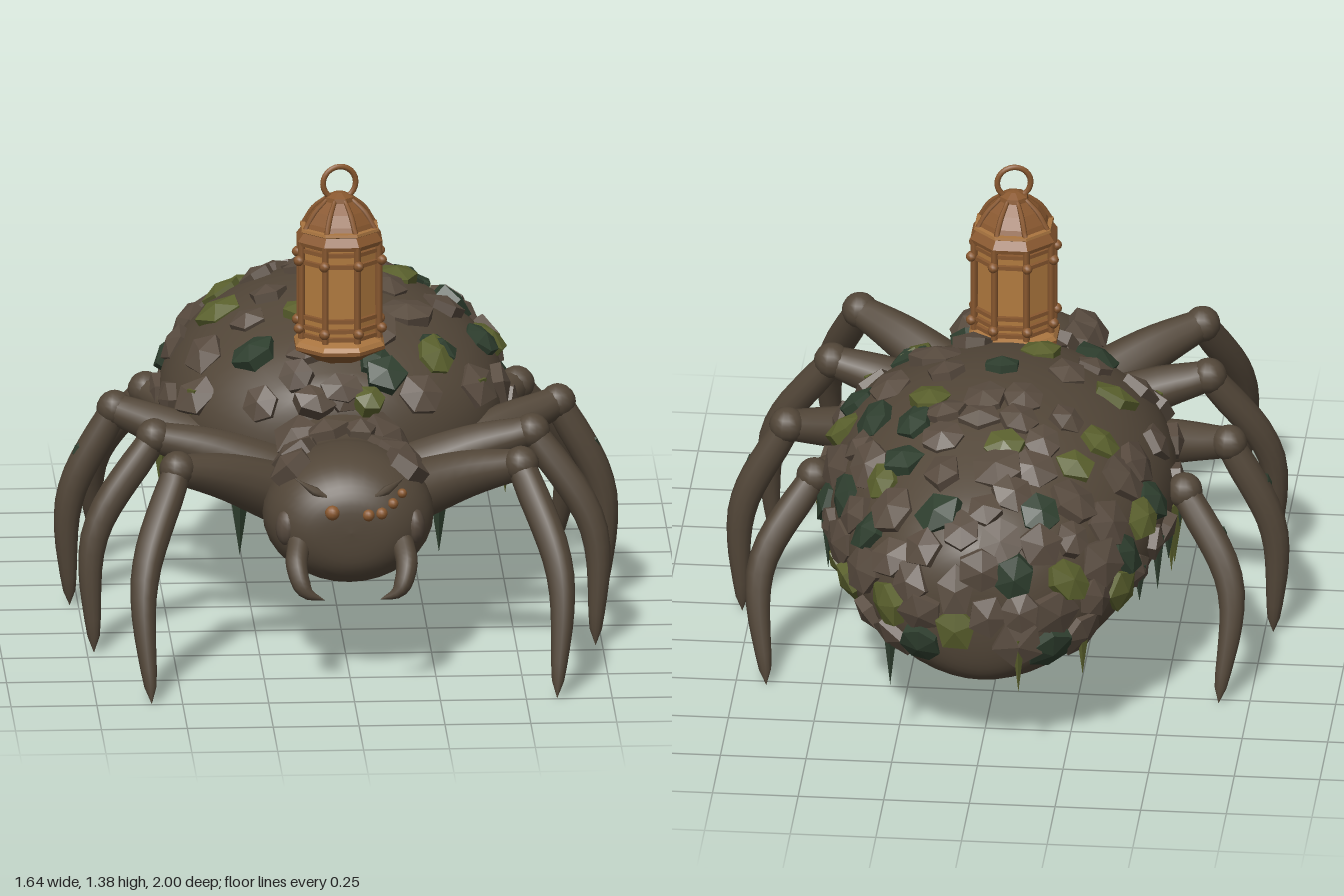
import * as THREE from 'three';
import { mergeGeometries } from 'three/addons/utils/BufferGeometryUtils.js';

const V = (x, y, z) => new THREE.Vector3(x, y, z);
const UP = V(0, 1, 0);

function mat(name, color) {
  const m = new THREE.MeshStandardMaterial({ color });
  m.name = name;
  return m;
}

// Smooth closed skin from f(u, angle), wrapped around the angle
function skin(f, nu, nv) {
  const pos = [], idx = [];
  for (let i = 0; i <= nu; i++)
    for (let j = 0; j < nv; j++) pos.push(...f(i / nu, (j / nv) * Math.PI * 2).toArray());
  for (let i = 0; i < nu; i++)
    for (let j = 0; j < nv; j++) {
      const k = (j + 1) % nv, a = i * nv + j, b = i * nv + k, c = a + nv, d = b + nv;
      idx.push(a, b, c, b, d, c);
    }
  const g = new THREE.BufferGeometry();
  g.setAttribute('position', new THREE.Float32BufferAttribute(pos, 3));
  g.setIndex(idx);
  g.computeVertexNormals();
  return g;
}

// Body surface through sections [z, top, bottom, half width]; angle 0 is the top
function bodySurface(sections) {
  const mid = new THREE.SplineCurve(sections.map(s => new THREE.Vector2(s[0], (s[1] + s[2]) / 2)));
  const rad = new THREE.SplineCurve(sections.map(s => new THREE.Vector2(s[3], (s[1] - s[2]) / 2)));
  return (u, a) => {
    const m = mid.getPoint(u), r = rad.getPoint(u);
    return V(r.x * Math.sin(a), m.y + r.y * Math.cos(a), m.x);
  };
}

function surfaceNormal(f, u, a) {
  const da = f(u, a + 0.02).sub(f(u, a - 0.02));
  const du = f(Math.min(u + 0.01, 1), a).sub(f(Math.max(u - 0.01, 0), a));
  return da.cross(du).normalize();
}

// Surface parameters closest to a point
function nearest(f, target) {
  let best = [0, 0], dist = Infinity;
  for (let u = 0.05; u < 0.98; u += 0.02)
    for (let a = -2.2; a <= 2.2; a += 0.1) {
      const d = f(u, a).distanceTo(target);
      if (d < dist) [dist, best] = [d, [u, a]];
    }
  return best;
}

// Round limb along a curve with radii blended between stations
function limb(points, radii, nu = 14, nv = 12) {
  const curve = new THREE.CatmullRomCurve3(points);
  const fr = curve.computeFrenetFrames(nu, false);
  return skin((u, a) => {
    const k = Math.round(u * nu), t = u * (radii.length - 1), i = Math.min(Math.floor(t), radii.length - 2);
    const r = THREE.MathUtils.lerp(radii[i], radii[i + 1], t - i);
    return curve.getPointAt(u).addScaledVector(fr.normals[k], r * Math.cos(a))
      .addScaledVector(fr.binormals[k], r * Math.sin(a));
  }, nu, nv);
}

function faceted(g) {
  const n = g.index ? g.toNonIndexed() : g;
  n.computeVertexNormals();
  return n;
}

export function createModel() {
  const root = new THREE.Group();
  const shell = mat('brown shell', 0x524638), stone = mat('stone brown', 0x584b3f);
  const moss = mat('olive moss', 0x5a602d), fern = mat('dark green moss', 0x2f3f2f);
  const bronze = mat('bronze', 0x89582f), glass = mat('amber glass', 0xb17a3e), trim = mat('light bronze', 0xa8743f);
  const add = (name, geo, m, parent = root) => {
    const mesh = new THREE.Mesh(geo, m);
    mesh.name = name;
    parent.add(mesh);
    return mesh;
  };
  let seed = 11;
  const rnd = () => (seed = (seed * 16807) % 2147483647) / 2147483647;

  // Abdomen and head with thorax
  const abdomen = bodySurface([
    [0.32, 0.52, 0.52, 0], [0.29, 0.71, 0.36, 0.2], [0.2, 0.79, 0.33, 0.35], [0.05, 0.86, 0.28, 0.46],
    [-0.2, 0.91, 0.215, 0.51], [-0.45, 0.9, 0.185, 0.488], [-0.65, 0.84, 0.185, 0.43], [-0.8, 0.775, 0.2, 0.355],
    [-0.89, 0.715, 0.225, 0.275], [-0.945, 0.66, 0.27, 0.19], [-0.97, 0.58, 0.36, 0.1], [-0.975, 0.48, 0.48, 0]]);
  add('abdomen', skin(abdomen, 44, 40), shell);
  const thorax = bodySurface([
    [0.83, 0.46, 0.46, 0], [0.82, 0.55, 0.36, 0.12], [0.77, 0.62, 0.3, 0.2], [0.68, 0.66, 0.275, 0.245],
    [0.56, 0.66, 0.275, 0.24], [0.45, 0.64, 0.3, 0.19], [0.33, 0.66, 0.31, 0.2], [0.2, 0.68, 0.33, 0.25],
    [0, 0.62, 0.32, 0.2], [-0.1, 0.45, 0.45, 0]]);
  add('headAndThorax', skin(thorax, 40, 32), shell);

  // Faceted plates gathered by colour
  const plates = new Map([[stone, []], [moss, []], [fern, []]]);
  const addPlate = (p, n, r, m, h = 0.032) => {
    const g = new THREE.LatheGeometry([[r * 0.95, -0.03], [r, h * 0.4], [0, h]]
      .map(q => new THREE.Vector2(...q)), 5 + Math.floor(rnd() * 2.5), rnd() * 6);
    g.scale(0.82 + rnd() * 0.36, 1, 0.82 + rnd() * 0.36);
    const tilt = n.clone().add(V(rnd() - 0.5, rnd() - 0.5, rnd() - 0.5).multiplyScalar(0.5)).normalize();
    g.applyQuaternion(new THREE.Quaternion().setFromUnitVectors(UP, tilt));
    g.translate(p.x, p.y, p.z);
    plates.get(m).push(faceted(g));
  };
  const addSpike = (p, len, m, r = 0.02) => {
    const g = new THREE.ConeGeometry(r, len, 4);
    g.rotateX(Math.PI);
    g.translate(p.x, p.y - len / 2 + 0.02, p.z);
    plates.get(m).push(faceted(g));
  };

  // Mossy plates at chosen spots of the abdomen
  const placed = [];
  const crust = (u, a, r, m) => {
    placed.push(abdomen(u, a));
    addPlate(abdomen(u, a), surfaceNormal(abdomen, u, a), r, m);
  };
  const mossSpots = [[-0.23, 0.8, -0.63], [-0.05, 0.85, -0.61], [-0.3, 0.78, -0.5], [-0.11, 0.88, -0.07], [0.3, 0.75, -0.67],
    [0.2, 0.86, -0.38], [0.28, 0.75, 0.1], [0.46, 0.7, -0.29], [0.5, 0.49, -0.34], [0.28, 0.45, -0.9],
    [0.46, 0.4, -0.54], [0.4, 0.44, -0.69], [-0.44, 0.62, -0.58], [-0.38, 0.46, -0.74], [-0.25, 0.55, -0.9], [0.05, 0.4, -0.97], [-0.3, 0.82, -0.2]];
  const fernSpots = [[-0.01, 0.91, -0.24], [0.12, 0.76, -0.84], [-0.18, 0.74, -0.84], [0.24, 0.82, -0.5], [0.3, 0.78, 0.04],
    [-0.46, 0.62, -0.5], [0.1, 0.79, 0.2], [0.47, 0.58, -0.44], [0.24, 0.78, -0.6], [0.44, 0.74, -0.18], [0.36, 0.8, -0.37],
    [0.35, 0.63, -0.77], [0.42, 0.65, -0.58], [-0.4, 0.55, -0.68], [-0.1, 0.6, -0.95], [0.16, 0.32, -0.94], [-0.2, 0.36, -0.93], [-0.24, 0.8, 0.08]];
  for (const [m, spots] of [[moss, mossSpots], [fern, fernSpots]])
    for (const s of spots) crust(...nearest(abdomen, V(...s)), 0.066, m);

  // Stony crust: dense at the rear, sparse toward the front, hanging moss at its edge
  for (let i = 0; i < 6000; i++) {
    const u = 0.1 + rnd() * 0.87, a = (rnd() * 2 - 1) * 2.2, p = abdomen(u, a), edge = 0.61 + 0.3 * p.z;
    const gap = p.z < -0.4 ? 0.092 : 0.145;
    if (p.y < edge || placed.some(q => q.distanceTo(p) < gap)) continue;
    crust(u, a, 0.055 + rnd() * 0.02, stone);
    if (p.y < edge + 0.1 && rnd() < 0.6)
      addSpike(p.clone().addScaledVector(surfaceNormal(abdomen, u, a), 0.012), 0.1 + rnd() * 0.08, rnd() < 0.5 ? moss : fern);
  }
  // Mossy strands low on the front flanks
  for (const s of [-1, 1])
    for (const [x, y, z, l] of [[0.29, 0.34, 0.15, 0.16], [0.5, 0.5, -0.28, 0.22], [0.5, 0.42, -0.18, 0.16], [0.16, 0.36, 0.32, 0.1]])
      addSpike(V(s * x, y, z), l, z > 0.1 ? fern : moss, 0.024);

  // Armour along the thorax in mirrored pairs, moss near the lantern
  for (const s of [-1, 1])
    for (const [u, a, r] of [[0.36, 0.75, 0.075], [0.46, 0.72, 0.082], [0.56, 0.8, 0.078], [0.65, 0.75, 0.08], [0.6, 0.25, 0.06]])
      addPlate(thorax(u, s * a), surfaceNormal(thorax, u, s * a), r, stone, 0.045);
  for (const [x, y, z, m] of [[0.13, 0.77, 0.25, fern], [-0.13, 0.77, 0.25, stone], [0, 0.74, 0.29, stone], [0.08, 0.71, 0.31, moss], [-0.08, 0.71, 0.31, stone]])
    addPlate(V(x, y, z), V(x, 0.7, 0.6).normalize(), 0.055, m);

  // Legs: hip, knee, shin, foot
  const legs = [
    ['frontLeg', V(0.13, 0.46, 0.48), V(0.5, 0.625, 0.7), V(0.605, 0.34, 0.88), V(0.59, 0, 0.995)],
    ['secondLeg', V(0.12, 0.46, 0.33), V(0.55, 0.625, 0.36), V(0.725, 0.35, 0.42), V(0.73, 0, 0.455)],
    ['thirdLeg', V(0.15, 0.42, 0.24), V(0.645, 0.6, -0.025), V(0.775, 0.33, -0.03), V(0.775, 0, -0.04)],
    ['rearLeg', V(0.2, 0.42, 0.12), V(0.54, 0.575, -0.3), V(0.685, 0.33, -0.42), V(0.66, 0, -0.525)]];
  const shinRadii = [0.042, 0.044, 0.046, 0.046, 0.046, 0.045, 0.043, 0.041, 0.038, 0.035, 0.032, 0.028, 0.024, 0.018, 0];
  for (const s of [-1, 1])
    legs.forEach(([name, ...pts], i) => {
      const leg = new THREE.Group();
      leg.name = (s > 0 ? 'left ' : 'right ') + name;
      root.add(leg);
      const [hip, knee, shin, foot] = pts.map(p => V(p.x * s, p.y, p.z));
      const bend = hip.clone().lerp(knee, 0.6).add(V(0, 0.015, 0));
      add('thigh', limb([hip, bend, knee], [0.095, 0.083, 0.066, 0.045], 10), shell, leg);
      add('knee', new THREE.SphereGeometry(0.053, 14, 10), shell, leg).position.copy(knee);
      add('shin', limb([knee, shin, foot], shinRadii), shell, leg);
      // Tufts of moss on the hind shins
      if (i > 1) {
        const tuft = knee.clone().lerp(shin, 0.45);
        tuft.x += s * 0.045;
        addPlate(tuft, V(s * 0.8, 0.5, -0.2).normalize(), 0.026, fern, 0.015);
      }
    });
  for (const [m, list] of plates) add(m.name + ' plates', mergeGeometries(list), m);

  // Jaws with curved fangs
  for (const s of [-1, 1]) {
    const base = add('jawBase', new THREE.SphereGeometry(0.05, 12, 10), stone);
    base.position.set(s * 0.185, 0.46, 0.755);
    base.scale.set(0.65, 1.1, 0.8);
    add('fang', limb([V(s * 0.15, 0.42, 0.78), V(s * 0.16, 0.365, 0.85), V(s * 0.135, 0.3, 0.885), V(s * 0.08, 0.275, 0.885)],
      [0.034, 0.032, 0.026, 0]), shell);
  }
  // Eyes and brow
  for (const [x, y, z, r] of [[-0.055, 0.52, 0.82, 0.022], [0.05, 0.512, 0.822, 0.018], [0.088, 0.515, 0.815, 0.018], [0.122, 0.54, 0.8, 0.016], [0.15, 0.565, 0.78, 0.014]])
    add('eye', new THREE.SphereGeometry(r, 12, 10), bronze).position.set(x, y, z);
  for (const s of [-1, 1])
    add('brow', limb([V(s * 0.04, 0.55, 0.81), V(s * 0.1, 0.575, 0.79), V(s * 0.16, 0.605, 0.75)], [0, 0.014, 0], 8, 6), shell);

  // Lantern
  const lantern = new THREE.Group();
  lantern.name = 'lantern';
  lantern.position.z = 0.155;
  root.add(lantern);
  const octagon = (name, pts, m) => add(name, faceted(new THREE.LatheGeometry(
    pts.map(p => new THREE.Vector2(...p)), 8, Math.PI / 8)), m, lantern);
  octagon('foot', [[0.08, 0.8], [0.1, 0.815], [0.14, 0.835], [0.14, 0.846]], bronze);
  octagon('footRim', [[0.14, 0.846], [0.13, 0.858], [0.105, 0.868], [0, 0.87]], trim);
  octagon('glass', [[0.11, 0.87], [0.11, 1.16]], glass);
  octagon('eaves', [[0.1, 1.145], [0.13, 1.15], [0.133, 1.162], [0.112, 1.19]], bronze);
  octagon('roofRim', [[0.112, 1.185], [0.122, 1.19], [0.12, 1.198], [0.1, 1.2]], trim);
  octagon('roof', [[0.108, 1.195], [0.1, 1.213], [0.076, 1.245], [0.045, 1.273], [0.042, 1.286], [0.015, 1.298], [0, 1.3]], bronze);
  for (const y of [0.88, 0.905, 0.935, 1.1, 1.135])
    octagon('crossBar', [[0.105, y - 0.006], [0.123, y - 0.006], [0.123, y + 0.006], [0.105, y + 0.006]], bronze);
  for (let i = 0; i < 8; i++) {
    const a = (i + 0.5) * Math.PI / 4, x = Math.sin(a), z = Math.cos(a);
    add('post', new THREE.CylinderGeometry(0.011, 0.011, 0.29, 6), bronze, lantern).position.set(x * 0.122, 1.015, z * 0.122);
    for (const y of [0.9, 1.105])
      add('stud', new THREE.SphereGeometry(0.016, 8, 6), bronze, lantern).position.set(x * 0.13, y, z * 0.13);
    add('roofRib', limb([V(x * 0.11, 1.195, z * 0.11), V(x * 0.08, 1.243, z * 0.08), V(x * 0.04, 1.278, z * 0.04)], [0.008, 0.008, 0.006], 6, 6), bronze, lantern);
  }
  const ring = add('ring', new THREE.TorusGeometry(0.049, 0.0085, 8, 24), bronze, lantern);
  ring.position.y = 1.325;
  ring.rotation.y = 0.2;
  return root;
}
